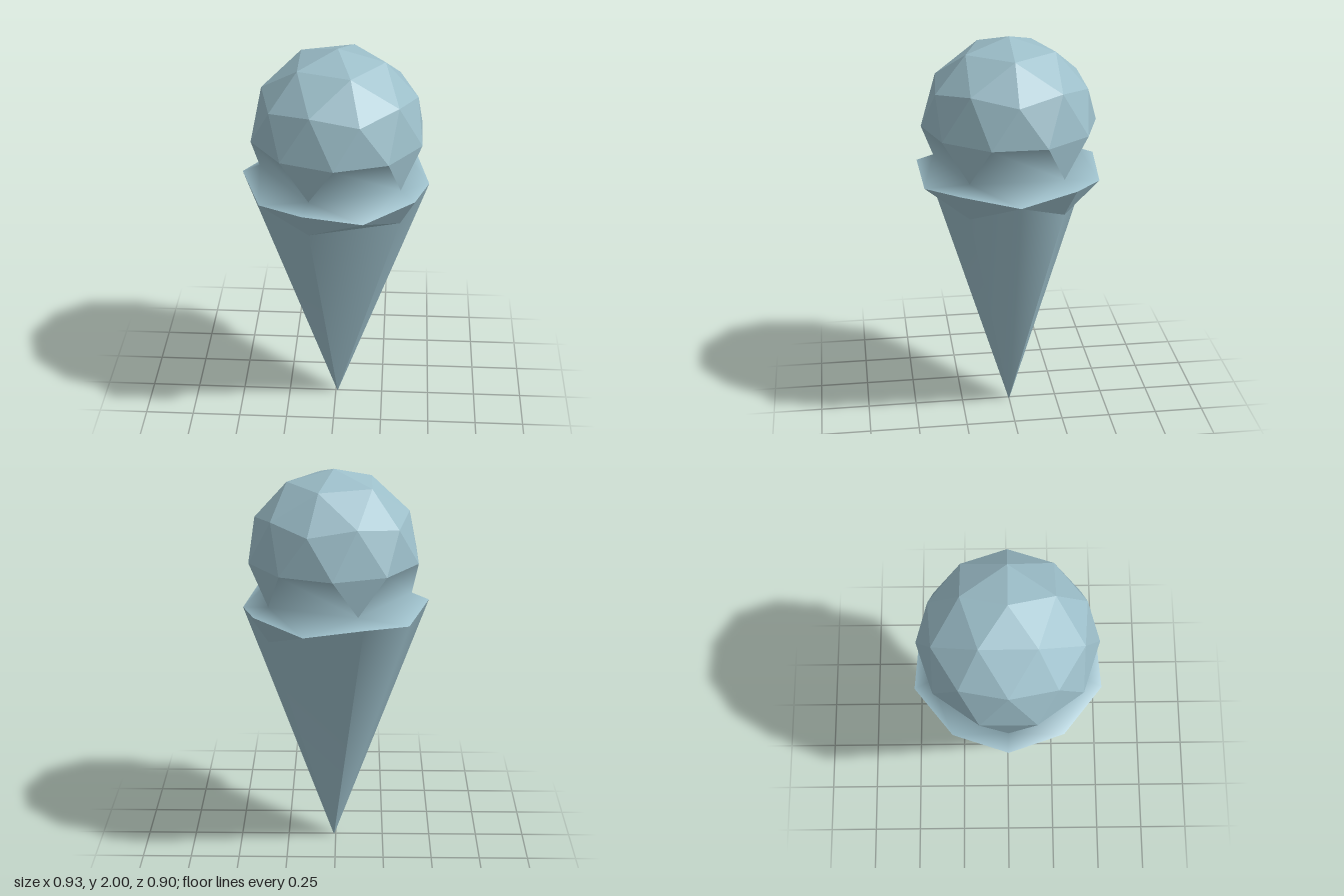
import * as THREE from 'three';
import { mergeVertices } from 'three/addons/utils/BufferGeometryUtils.js';

const CX = 0.009;

// point on a ring: angle in degrees from +x towards +z
function ring(deg, r, y) {
  const a = THREE.MathUtils.degToRad(deg);
  return new THREE.Vector3(CX + r * Math.cos(a), y, r * Math.sin(a));
}

// adds one triangle, turned to face away from the axis point at refY
function addTri(list, refY, a, b, c) {
  const n = b.clone().sub(a).cross(c.clone().sub(a));
  const out = a.clone().add(b).add(c).divideScalar(3).sub(new THREE.Vector3(CX, refY, 0));
  const order = n.dot(out) >= 0 ? [a, b, c] : [a, c, b];
  order.forEach((p) => list.push(p));
}

function makeMesh(name, points, material, smooth) {
  let geo = new THREE.BufferGeometry().setFromPoints(points);
  if (smooth) geo = mergeVertices(geo, 1e-5);
  geo.computeVertexNormals();
  const mesh = new THREE.Mesh(geo, material);
  mesh.name = name;
  return mesh;
}

export function createModel() {
  const group = new THREE.Group();
  group.name = 'iceCreamCone';
  const material = new THREE.MeshStandardMaterial({ color: 0x9cbec9, side: THREE.DoubleSide });
  material.name = 'paleBlueGrey';

  const R = 0.435, CY = 1.565;
  const scoop = [], collar = [], underside = [], cone = [];
  const ball = (deg, r, h) => ring(deg, r * R, CY + h * R);

  // rings of the faceted scoop
  const pole = ball(0, 0, 1);
  const cap = (d) => ball(d, 0.526, 0.851);
  const upper = (d) => ball(d, 0.894, 0.447);
  const upperMid = (d) => ball(d, 0.851, 0.526);
  const equator = (d) => ball(d, 1, 0);
  const lower = (d) => ball(d, 0.894, -0.447);
  // rim points, cone top and tip
  const rimHigh = (d) => ring(d, 0.475, 1.335);
  const rimLow = (d) => ring(d, 0.456, 1.29);
  const coneTop = (d) => ring(d, 0.39, 1.19);
  const tip = (d) => ring(d, 0.002, 0);

  // at two corners the cone wall runs straight up to the rim, at the others a flap overhangs
  const isStraight = (d) => d === 180 || d === 252;
  const wallTop = (d) => (isStraight(d) ? rimHigh(d) : coneTop(d));
  // sides where the wall bulges out to the low rim point; the others are flat
  const isRidge = (d) => d === 0 || d === 216;

  for (let k = 0; k < 5; k++) {
    const d = k * 72, prev = (d + 324) % 360, next = d + 36;
    const s = (a, b, c) => addTri(scoop, CY, a, b, c);
    s(pole, cap(d), cap(d + 72));
    s(cap(d), upperMid(next), cap(d + 72));
    s(cap(d), upper(d), upperMid(next));
    s(cap(d), upper(d), upperMid(prev));
    s(upper(d), equator(d - 18), equator(d + 18));
    s(upper(d), equator(d + 18), upperMid(next));
    s(upper(d), equator(d - 18), upperMid(prev));
    s(upperMid(next), equator(d + 18), equator(d + 54));
    // pointed drip
    s(lower(next), equator(d + 18), equator(d + 54));

    // panel between two drips
    addTri(collar, CY, equator(d - 18), equator(d + 18), lower(prev));
    addTri(collar, CY, equator(d + 18), lower(prev), lower(next));
    // sloping top of the rim
    addTri(collar, 1.1, lower(prev), lower(next), rimLow(d));

    for (const corner of [prev, next]) {
      addTri(collar, 1.1, lower(corner), rimHigh(corner), rimLow(d));
      // overhanging flap below the rim
      if (!isStraight(corner)) {
        addTri(underside, 1.2, rimLow(d), rimHigh(corner), coneTop(corner));
      }
      // cone wall
      addTri(cone, 0.9, wallTop(corner), tip(corner), tip(d));
      if (isRidge(d)) addTri(cone, 0.9, rimLow(d), wallTop(corner), tip(d));
    }
    if (!isRidge(d)) {
      addTri(cone, 0.9, wallTop(prev), wallTop(next), tip(d));
      addTri(underside, 1.3, rimLow(d), wallTop(prev), wallTop(next));
    }
  }

  group.add(
    makeMesh('scoop', scoop, material, false),
    makeMesh('collar', collar, material, true),
    makeMesh('rimUnderside', underside, material, false),
    makeMesh('cone', cone, material, true),
  );
  return group;
}
